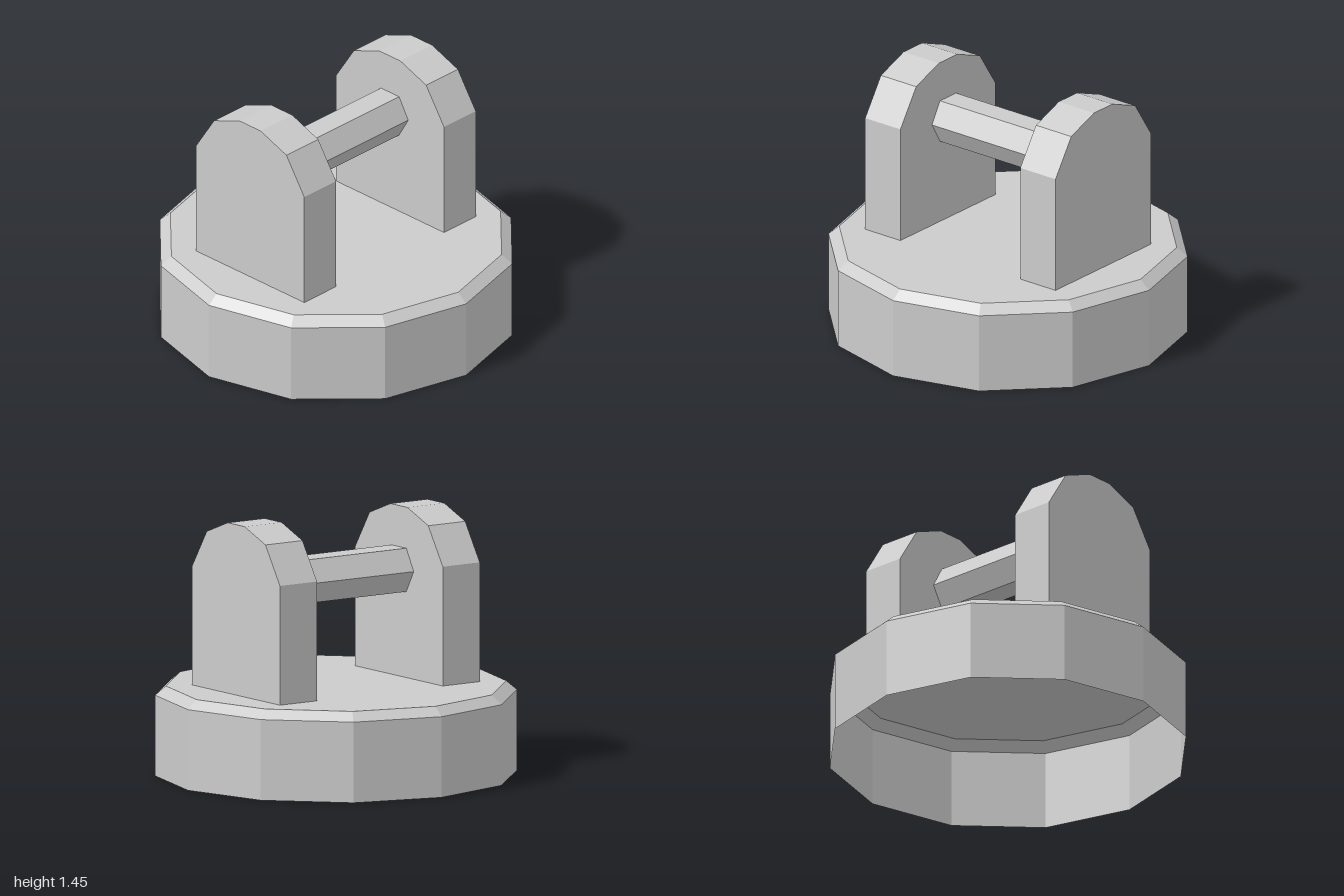
import * as THREE from 'three';

export function createModel() {
  const group = new THREE.Group();
  const material = new THREE.MeshStandardMaterial({ color: 0xcccccc, flatShading: true });
  const shellMaterial = material.clone();
  shellMaterial.side = THREE.DoubleSide;

  const add = (name, geometry, mat = material) => {
    const mesh = new THREE.Mesh(geometry, mat);
    mesh.name = name;
    group.add(mesh);
    return mesh;
  };

  // Twelve-sided base: a hollow shell, open below, with a bevelled top rim
  const profile = [[1, 0], [1, 0.45], [0.94, 0.5], [0, 0.5]].map(([r, y]) => new THREE.Vector2(r, y));
  add('base', new THREE.LatheGeometry(profile, 12), shellMaterial);

  // Upright brackets with a faceted round top, one on each side
  const half = [[0.415, 0.5], [0.415, 1.165], [0.278, 1.375], [0.08, 1.45]];
  const outline = [...half, ...half.map(([z, y]) => [-z, y]).reverse()];
  const shape = new THREE.Shape(outline.map(([z, y]) => new THREE.Vector2(z, y)));
  const width = 0.25;
  const bracket = new THREE.ExtrudeGeometry(shape, { depth: width, bevelEnabled: false });
  bracket.translate(0, 0, -width / 2).rotateY(Math.PI / 2);
  for (const [name, side] of [['leftBracket', 1], ['rightBracket', -1]]) {
    add(name, bracket).position.x = side * 0.55;
  }

  // Hexagonal bar between the brackets
  const bar = new THREE.CylinderGeometry(0.14, 0.14, 0.85, 6, 1, true);
  bar.rotateZ(Math.PI / 2).translate(0, 1.1, 0);
  add('bar', bar);

  return group;
}
